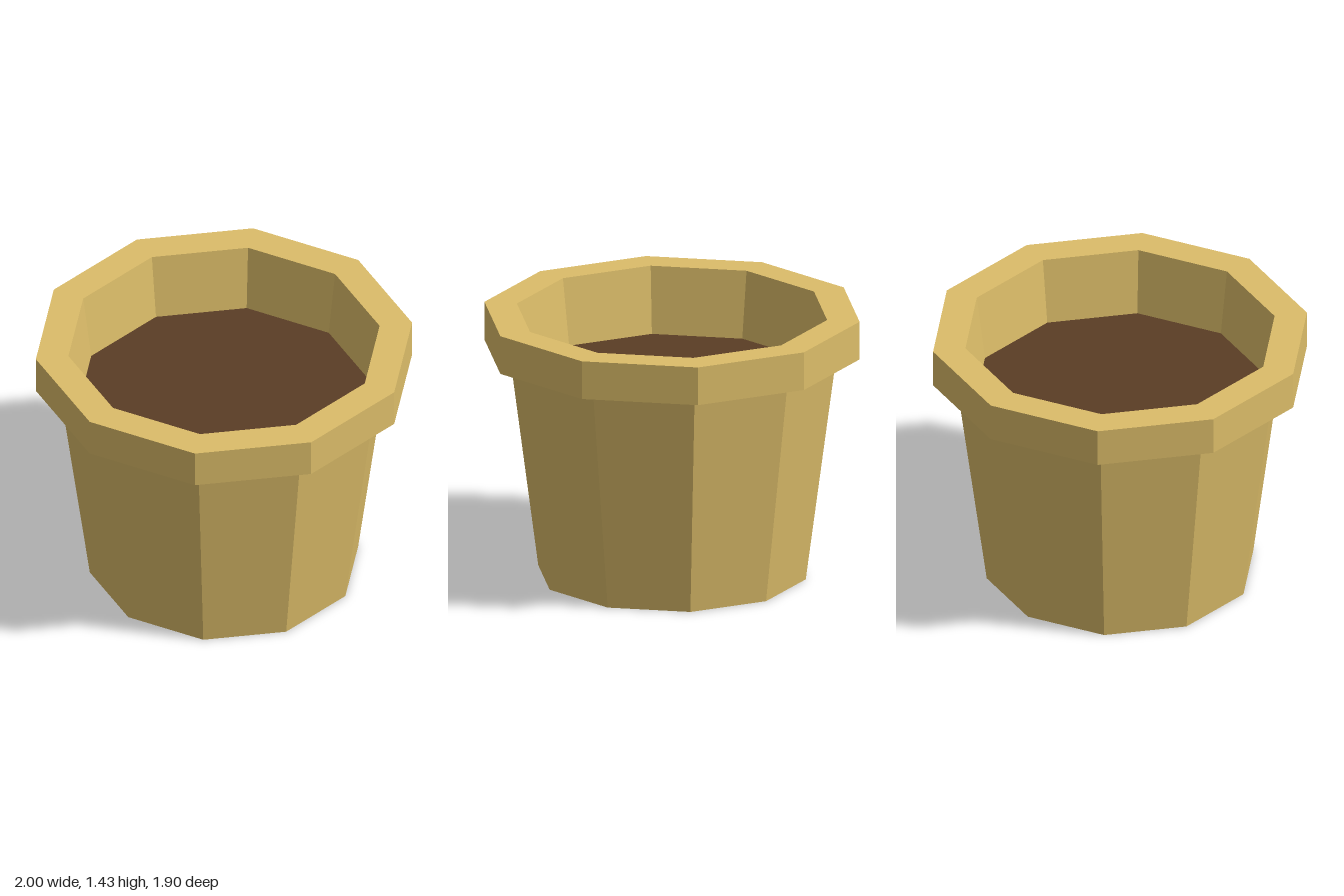
import * as THREE from 'three';

const SIDES = 10;

// Faceted ring of revolution with a corner on +x; the profile runs with its outside on the right
function facetedLathe(profile) {
  const points = profile.map(([r, y]) => new THREE.Vector2(r, y));
  const geometry = new THREE.LatheGeometry(points, SIDES, Math.PI / 2).toNonIndexed();
  geometry.computeVertexNormals();
  return geometry;
}

export function createModel() {
  const clay = new THREE.MeshStandardMaterial({ color: 0xdcbd69 });
  clay.name = 'clay';
  const earth = new THREE.MeshStandardMaterial({ color: 0x5a3d25 });
  earth.name = 'earth';

  const pot = new THREE.Group();
  pot.name = 'flowerPot';
  const add = (name, geometry, material) => {
    const mesh = new THREE.Mesh(geometry, material);
    mesh.name = name;
    pot.add(mesh);
    return mesh;
  };

  // Closed base and tapered outer wall
  add('body', facetedLathe([[0, 0], [0.713, 0], [0.875, 1.223]]), clay);

  // Overhanging rim: underside, outer band, flat top
  add('rim', facetedLathe([[0.875, 1.223], [1, 1.223], [1, 1.43], [0.827, 1.43]]), clay);

  // Inner wall tapering down to the soil
  add('innerWall', facetedLathe([[0.827, 1.43], [0.78, 1.07]]), clay);

  // Soil surface
  const soil = add('soil', new THREE.CircleGeometry(0.78, SIDES).rotateX(-Math.PI / 2), earth);
  soil.position.y = 1.07;

  return pot;
}
